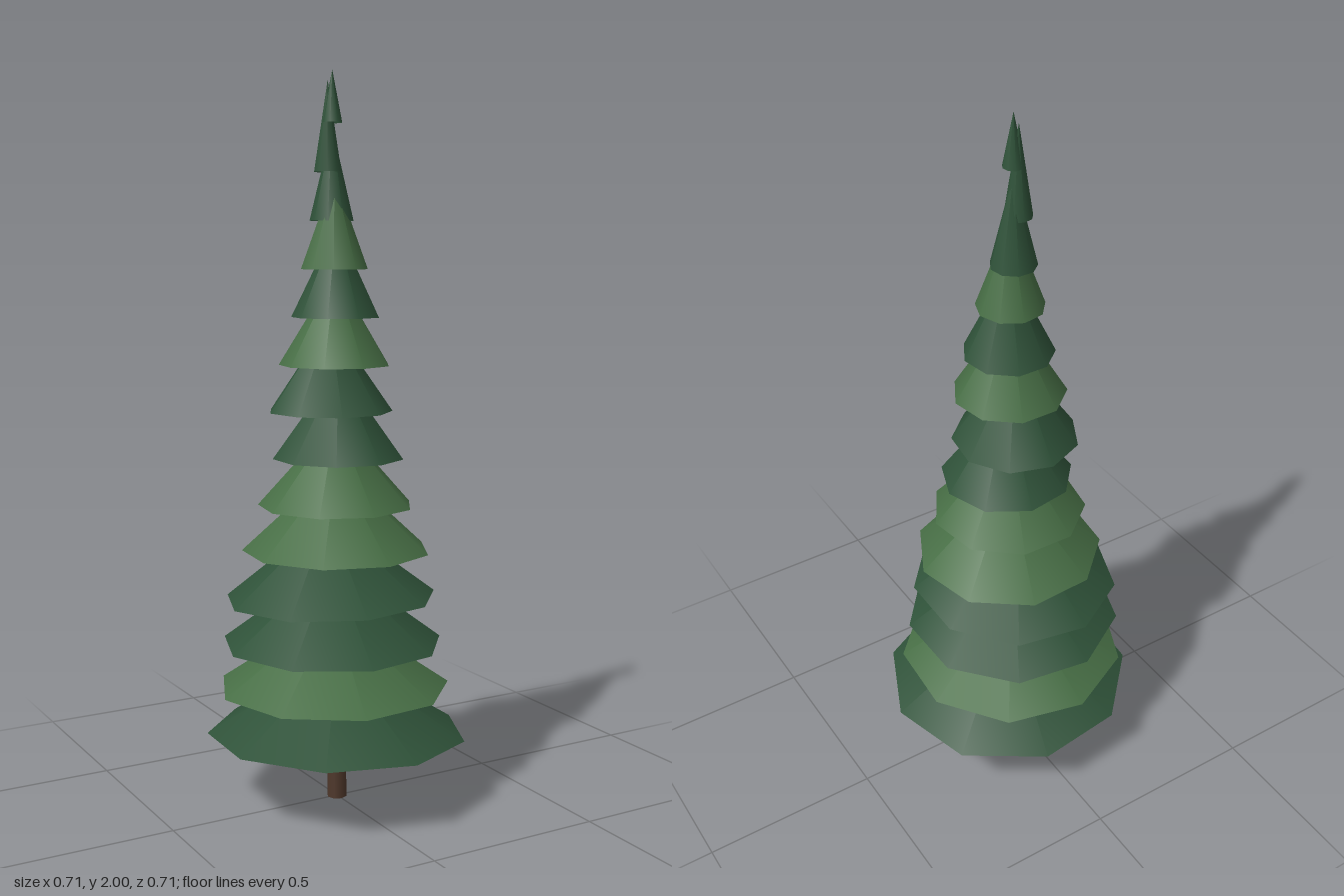
import * as THREE from 'three';

const mat = (name, color, side = THREE.FrontSide) => {
  const m = new THREE.MeshStandardMaterial({ color, side });
  m.name = name;
  return m;
};

export function createModel() {
  const tree = new THREE.Group();
  tree.name = 'coniferTree';
  const dark = mat('darkGreen', 0x2f5239, THREE.DoubleSide);
  const light = mat('lightGreen', 0x476e45, THREE.DoubleSide);
  const bark = mat('barkBrown', 0x4f382b);

  // Slender tapering trunk running up inside the foliage
  const trunk = new THREE.Mesh(new THREE.CylinderGeometry(0.006, 0.028, 1.6, 8), bark);
  trunk.name = 'trunk';
  trunk.position.y = 0.8;
  tree.add(trunk);

  // Branch tiers, bottom to top: centre x, centre z, radius, height, turn in degrees, colour
  const tiers = [
    [0, 0, 0.362, 0.22, 6, dark],
    [0, -0.02, 0.325, 0.22, -14, light],
    [-0.008, -0.012, 0.308, 0.23, -9, dark],
    [-0.015, -0.01, 0.294, 0.23, -10, dark],
    [0.01, -0.02, 0.262, 0.24, 3, light],
    [0, -0.005, 0.215, 0.24, -1, light],
    [0.013, -0.015, 0.181, 0.25, 9, dark],
    [-0.005, -0.03, 0.172, 0.25, -18, dark],
    [-0.003, -0.004, 0.153, 0.25, 0, light],
    [0.004, -0.01, 0.122, 0.25, 0, dark],
    [-0.005, -0.004, 0.091, 0.25, 10, light],
    [0, -0.025, 0.061, 0.25, 0, dark],
    [-0.014, -0.024, 0.037, 0.24, 10, dark],
    [-0.005, -0.015, 0.028, 0.137, 0, dark],
  ];
  // Slight lean of a few tiers: [about x, about z]
  const lean = { 0: [-0.025, -0.025], 3: [-0.02, 0.016] };

  tiers.forEach(([x, z, radius, height, turn, material], i) => {
    // Open nine-sided cone with its rim at the local origin
    const cone = new THREE.ConeGeometry(radius, height, 9, 1, true)
      .rotateY(THREE.MathUtils.degToRad(turn))
      .translate(0, height / 2, 0);
    const tier = new THREE.Mesh(cone, material);
    tier.name = `branchTier${i + 1}`;
    tier.position.set(x, 0.19 + i * 0.1287, z);
    const [rx, rz] = lean[i] ?? [0, 0];
    tier.rotation.set(rx, 0, rz);
    tree.add(tier);
  });

  return tree;
}
